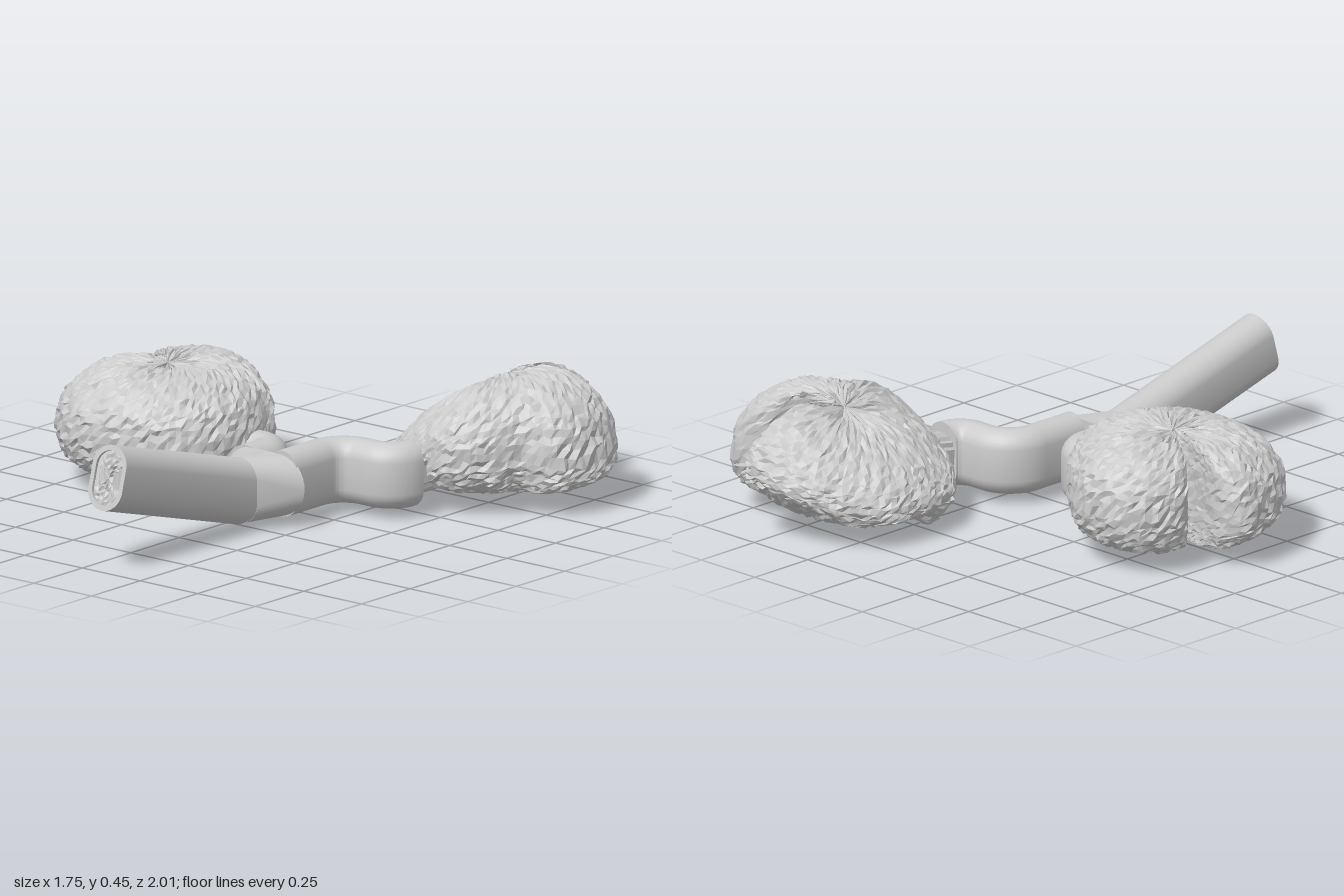
import * as THREE from 'three';
import { toCreasedNormals } from 'three/addons/utils/BufferGeometryUtils.js';

const V = (x, y, z) => new THREE.Vector3(x, y, z);
const UP = V(0, 1, 0);
const smooth = new THREE.MeshStandardMaterial({ color: 0xcccccc });
const rough = new THREE.MeshStandardMaterial({ color: 0xcccccc, flatShading: true });

let seed = 7;
const rand = () => {
  seed = (seed * 16807) % 2147483647;
  return seed / 2147483647 - 0.5;
};

// Skin closed rings of points; rings run counter-clockwise about the direction of travel
function skin(rings, capStart, capEnd) {
  const n = rings[0].length, pos = [], idx = [];
  rings.flat().forEach(p => pos.push(p.x, p.y, p.z));
  for (let i = 0; i < rings.length - 1; i++) {
    for (let j = 0; j < n; j++) {
      const k = (j + 1) % n;
      const a = i * n + j, b = i * n + k, c = b + n, d = a + n;
      idx.push(a, b, c, a, c, d);
    }
  }
  const cap = (row, flip) => {
    const c = V(0, 0, 0);
    rings[row].forEach(p => c.addScaledVector(p, 1 / n));
    const m = pos.length / 3;
    pos.push(c.x, c.y, c.z);
    for (let j = 0; j < n; j++) {
      const a = row * n + j, b = row * n + (j + 1) % n;
      idx.push(m, ...(flip ? [b, a] : [a, b]));
    }
  };
  if (capStart) cap(0, true);
  if (capEnd) cap(rings.length - 1, false);
  const g = new THREE.BufferGeometry();
  g.setAttribute('position', new THREE.Float32BufferAttribute(pos, 3));
  g.setIndex(idx);
  g.computeVertexNormals();
  return g;
}

// Stadium-shaped ring at p facing t, with half width w and half height h
function ring(p, t, w, h, scale = () => 1, n = 28) {
  const T = t.clone().normalize();
  const R = UP.clone().cross(T).normalize();
  const U = T.clone().cross(R);
  const r = Math.min(w, h);
  return Array.from({ length: n }, (_, j) => {
    const a = ((j + 0.5) / n) * Math.PI * 2, c = Math.cos(a), s = Math.sin(a), f = scale(j);
    return p.clone()
      .addScaledVector(R, f * (r * c + Math.sign(c) * (w - r)))
      .addScaledVector(U, f * (r * s + Math.sign(s) * (h - r)));
  });
}

function add(group, name, geometry, material = smooth) {
  const m = new THREE.Mesh(material === smooth ? toCreasedNormals(geometry, 0.7) : geometry, material);
  m.name = name;
  group.add(m);
}

// Sweep the branch section along a flat path drawn in x, z
function branch(path, y) {
  const pts = path.getPoints(12).map(p => V(p.x, y, p.y));
  const rings = pts.map((p, i) => {
    const t = pts[Math.min(i + 1, pts.length - 1)].clone().sub(pts[Math.max(i - 1, 0)]);
    return ring(p, t, 0.066, 0.113);
  });
  return skin(rings, true, true);
}

// Fluted neck that tapers between branch and lobe
function neck(from, to) {
  const t = to.clone().sub(from);
  const rings = [0, 0.25, 0.5, 0.75, 1].map(k => ring(from.clone().lerp(to, k), t,
    0.058 - 0.008 * k, 0.08, j => (j % 2 ? 0.9 : 1)));
  return skin(rings, true, true);
}

// Notched, wrinkled lobe: outline scaled about its apex, domed above and flatter below
function lobe(outline, ax, az, heights) {
  const N = 128, M = 40;
  const curve = new THREE.CatmullRomCurve3(outline.map(([x, z]) => V(x, 0, z)), true, 'centripetal');
  const edge = curve.getSpacedPoints(N).slice(0, N);
  const rings = [];
  for (let i = 1; i < M; i++) {
    const v = (i / M) * Math.PI;
    const c = -Math.cos(v);
    const s = Math.pow(Math.sin(v), c > 0 ? 0.78 : 0.5);
    const lift = Math.pow(Math.abs(c), 0.8) * (1 - 0.16 * Math.exp(-((s / 0.35) ** 2)));
    rings.push(edge.map(e => {
      const k = s * (1 + rand() * 0.035);
      const x = ax + (e.x - ax) * k, z = az + (e.z - az) * k;
      const [bottom, mid, top] = heights(x, z);
      const y = mid + lift * ((c > 0 ? top : bottom) - mid) + rand() * 0.014;
      return V(x + rand() * 0.008, Math.max(y, 0), z + rand() * 0.008);
    }));
  }
  return skin(rings, true, true);
}

export function createModel() {
  const model = new THREE.Group();
  model.name = 'branchingPipeWithLobes';

  // Main pipe, bent upward, with a hollow mouth
  const tip = V(0.083, 0.328, 0.97);
  const dir = V(0, 0.185, 0.67).normalize();
  const floor = tip.clone().addScaledVector(dir, -0.01);
  add(model, 'mainPipe', skin([
    ring(V(0.083, 0.143, 0.17), V(0, 0, 1), 0.073, 0.11),
    ring(V(0.083, 0.143, 0.3), V(0, 0.13, 1), 0.073, 0.112),
    ring(tip, dir, 0.073, 0.111),
    ring(tip, dir, 0.057, 0.093),
    ring(floor, dir, 0.057, 0.093),
  ], true, false));

  // Grainy filling just inside the mouth
  add(model, 'mouthFilling', skin([1, 0.87, 0.74, 0.61, 0.48, 0.35, 0.22].map(k =>
    ring(floor, dir, 0.057 * k, 0.093 * k).map(p => p.addScaledVector(dir, k < 1 ? rand() * 0.012 : 0))),
  false, true), rough);

  // Funnel flaring from the pipe to both branches
  add(model, 'funnel', skin([
    ring(V(0.083, 0.147, 0.155), V(0, 0, 1), 0.17, 0.105),
    ring(V(0.083, 0.143, 0.285), V(0, 0, 1), 0.074, 0.112),
  ], true, true));

  // Branches
  const rightPath = new THREE.Path().moveTo(0.003, 0.16).lineTo(0.003, 0.07);
  rightPath.absarc(-0.07, 0.07, 0.073, 0, -Math.PI / 2, true).lineTo(-0.085, -0.003);
  add(model, 'rightBranch', branch(rightPath, 0.145));

  const leftPath = new THREE.Path().moveTo(0.16, 0.16).lineTo(0.16, -0.03);
  leftPath.absarc(0.265, -0.03, 0.105, Math.PI, Math.PI * 1.5, false);
  leftPath.absarc(0.315, -0.215, 0.08, Math.PI / 2, 0, true);
  add(model, 'leftBranch', branch(leftPath, 0.152));

  // Necks
  add(model, 'rightNeck', neck(V(-0.075, 0.143, 0.005), V(-0.2, 0.143, 0.01)), rough);
  add(model, 'leftNeck', neck(V(0.392, 0.15, -0.2), V(0.4, 0.16, -0.3)), rough);

  // Lobes
  add(model, 'rightLobe', lobe([
    [-0.12, 0], [-0.16, -0.17], [-0.25, -0.28], [-0.36, -0.37], [-0.43, -0.41], [-0.56, -0.42],
    [-0.68, -0.37], [-0.73, -0.28], [-0.73, -0.2], [-0.67, -0.15], [-0.59, -0.1], [-0.54, -0.065],
    [-0.6, -0.065], [-0.7, -0.085], [-0.8, -0.105], [-0.87, -0.07], [-0.87, 0.02], [-0.82, 0.15],
    [-0.75, 0.24], [-0.65, 0.31], [-0.5, 0.34], [-0.35, 0.31], [-0.22, 0.24], [-0.14, 0.12],
  ], -0.5, -0.04, (x, z) =>
    [0.05, 0.21, 0.445 - 0.1 * Math.max(0, -0.5 - x) - 0.07 * Math.max(0, z)]), rough);

  add(model, 'leftLobe', lobe([
    [0.4, -0.25], [0.55, -0.25], [0.65, -0.33], [0.72, -0.42], [0.83, -0.48], [0.865, -0.62],
    [0.82, -0.78], [0.74, -0.83], [0.67, -0.8], [0.61, -0.74], [0.55, -0.7], [0.5, -0.7],
    [0.49, -0.73], [0.52, -0.8], [0.57, -0.93], [0.55, -0.99], [0.45, -1], [0.3, -0.96], [0.2, -0.87],
    [0.12, -0.75], [0.1, -0.6], [0.13, -0.45], [0.22, -0.34],
  ], 0.45, -0.62, (x, z) => {
    const bump = Math.exp(-(((x - 0.22) / 0.08) ** 2) - ((z + 0.45) / 0.07) ** 2);
    const rise = THREE.MathUtils.smoothstep(-z, 0.78, 1);
    const outer = THREE.MathUtils.smoothstep(x, 0.6, 0.85);
    const bottom = 0.06 - 0.07 * bump + 0.1 * rise;
    const top = Math.min(0.47, 0.24 + 0.55 * (x - 0.1)) - 0.6 * (z + 0.62) ** 2;
    return [bottom, bottom + (0.44 - 0.14 * outer) * (top - bottom), top];
  }), rough);

  return model;
}
